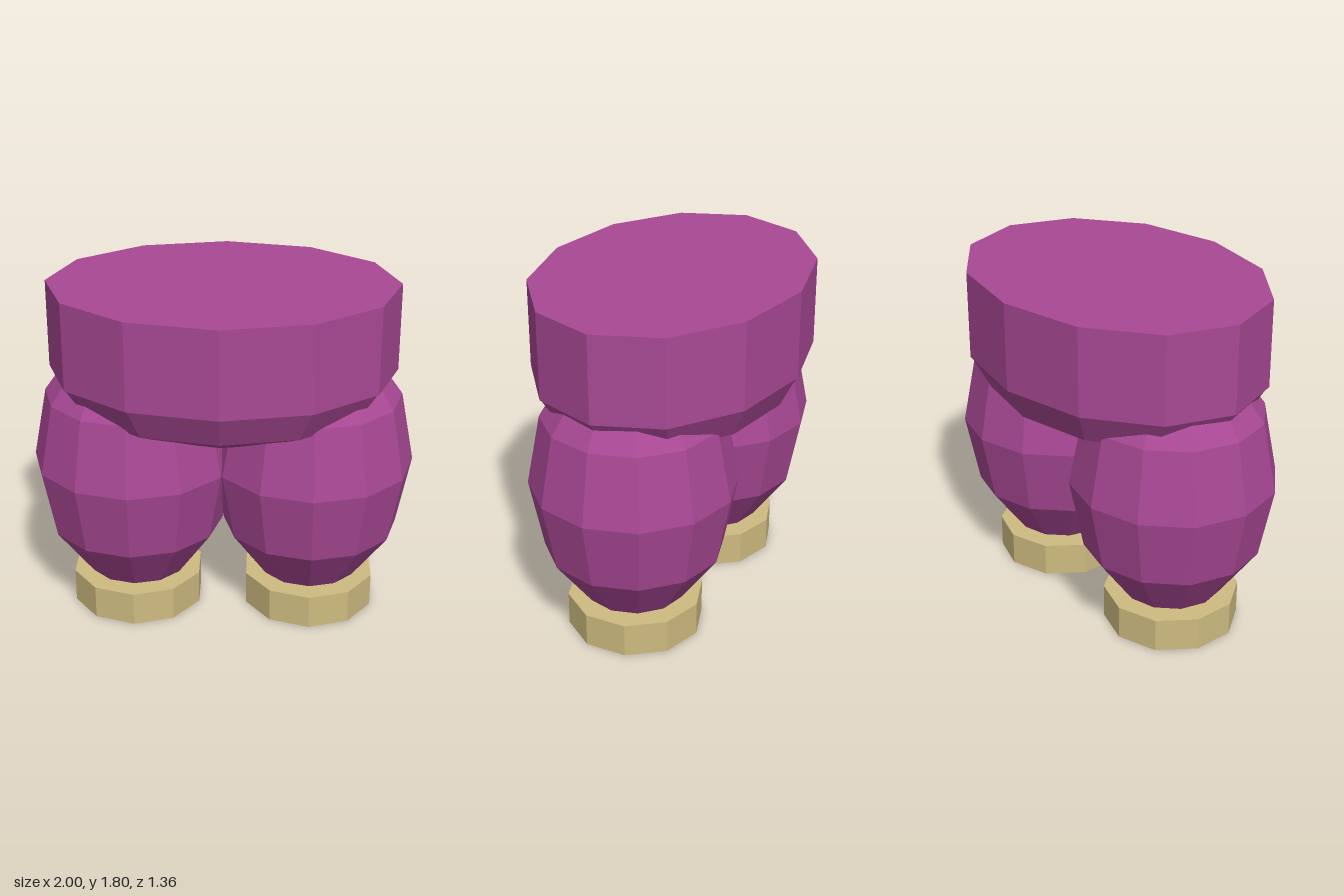
import * as THREE from 'three';

export function createModel() {
  const model = new THREE.Group();
  const cloth = new THREE.MeshStandardMaterial({ color: 0xa84894, flatShading: true });
  cloth.name = 'purple cloth';
  const sole = new THREE.MeshStandardMaterial({ color: 0xcebb80, flatShading: true });
  sole.name = 'tan shoe';

  const add = (name, geometry, material, position, scale) => {
    const mesh = new THREE.Mesh(geometry, material);
    mesh.name = name;
    mesh.position.set(...position);
    mesh.scale.set(...scale);
    model.add(mesh);
  };

  // Oval waistband with a shallow rounded seat beneath it
  add('waistband', new THREE.CylinderGeometry(1, 1, 0.46, 12), cloth, [0, 1.575, 0], [0.9, 1, 0.68]);
  add('seat', new THREE.SphereGeometry(1, 12, 6), cloth, [0, 1.355, 0], [0.9, 0.36, 0.68]);

  // Puffed legs meeting in the middle, each standing on a faceted foot
  const puff = new THREE.SphereGeometry(1, 12, 6);
  const foot = new THREE.CylinderGeometry(0.355, 0.355, 0.18, 10);
  for (const [side, s] of [['left', 1], ['right', -1]]) {
    add(side + 'Leg', puff, cloth, [s * 0.466, 0.84, 0], [0.534, 0.74, 0.534]);
    add(side + 'Foot', foot, sole, [s * 0.466, 0.09, 0], [1, 1, 1]);
  }
  return model;
}
